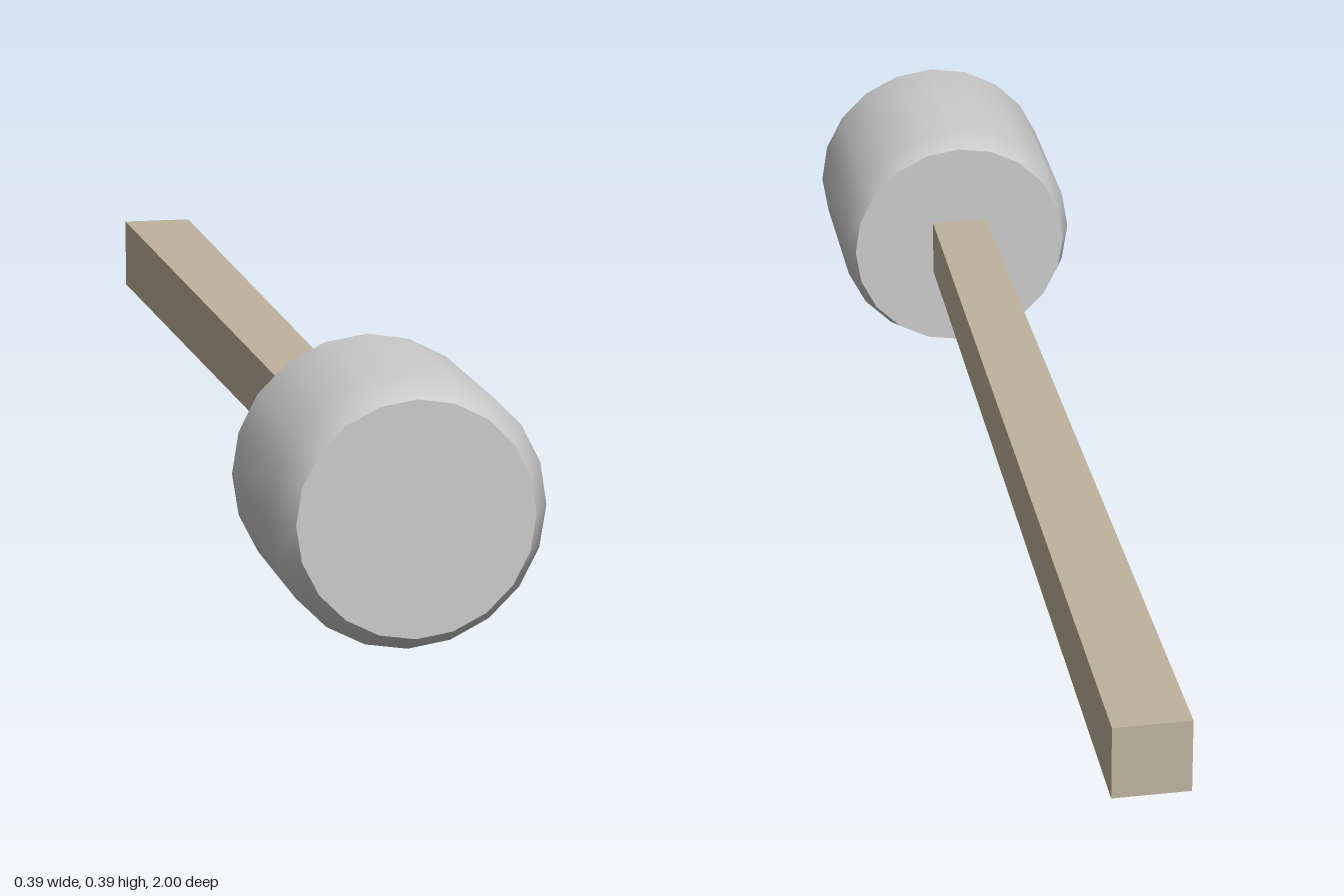
import * as THREE from 'three';

const SIDES = 20;
const AXIS_Y = 0.194;

export function createModel() {
  const model = new THREE.Group();
  const grey = new THREE.MeshStandardMaterial({ color: 0xcccccc });
  const wood = new THREE.MeshStandardMaterial({ color: 0xbfb39d, flatShading: true });

  const add = (name, geometry, material, parent) => {
    const mesh = new THREE.Mesh(geometry, material);
    mesh.name = name;
    parent.add(mesh);
    return mesh;
  };

  // Mallet head: a smooth barrel with bevelled ends, lying along z
  const head = new THREE.Group();
  head.name = 'head';
  head.position.y = AXIS_Y;
  model.add(head);

  const front = { z: 1, r: 0.166 };
  const back = { z: 0.646, r: 0.177 };
  const profile = [[back.r, back.z], [0.193, 0.69], [0.193, 0.95], [front.r, front.z]]
    .map(([r, z]) => new THREE.Vector2(r, z));
  add('headBarrel', new THREE.LatheGeometry(profile, SIDES).rotateX(Math.PI / 2), grey, head);

  // Flat end faces
  add('strikingFace', new THREE.CircleGeometry(front.r, SIDES), grey, head).position.z = front.z;
  const backFace = add('backFace', new THREE.CircleGeometry(back.r, SIDES), grey, head);
  backFace.position.z = back.z;
  backFace.rotation.y = Math.PI;

  // Square handle, thicker towards its free end
  const tip = -1, root = 0.66;
  const handleGeometry = new THREE.CylinderGeometry(0.045 * Math.SQRT2, 0.0565 * Math.SQRT2, root - tip, 4)
    .rotateY(Math.PI / 4)
    .rotateX(Math.PI / 2);
  add('handle', handleGeometry, wood, model).position.set(0, AXIS_Y, (root + tip) / 2);

  return model;
}
